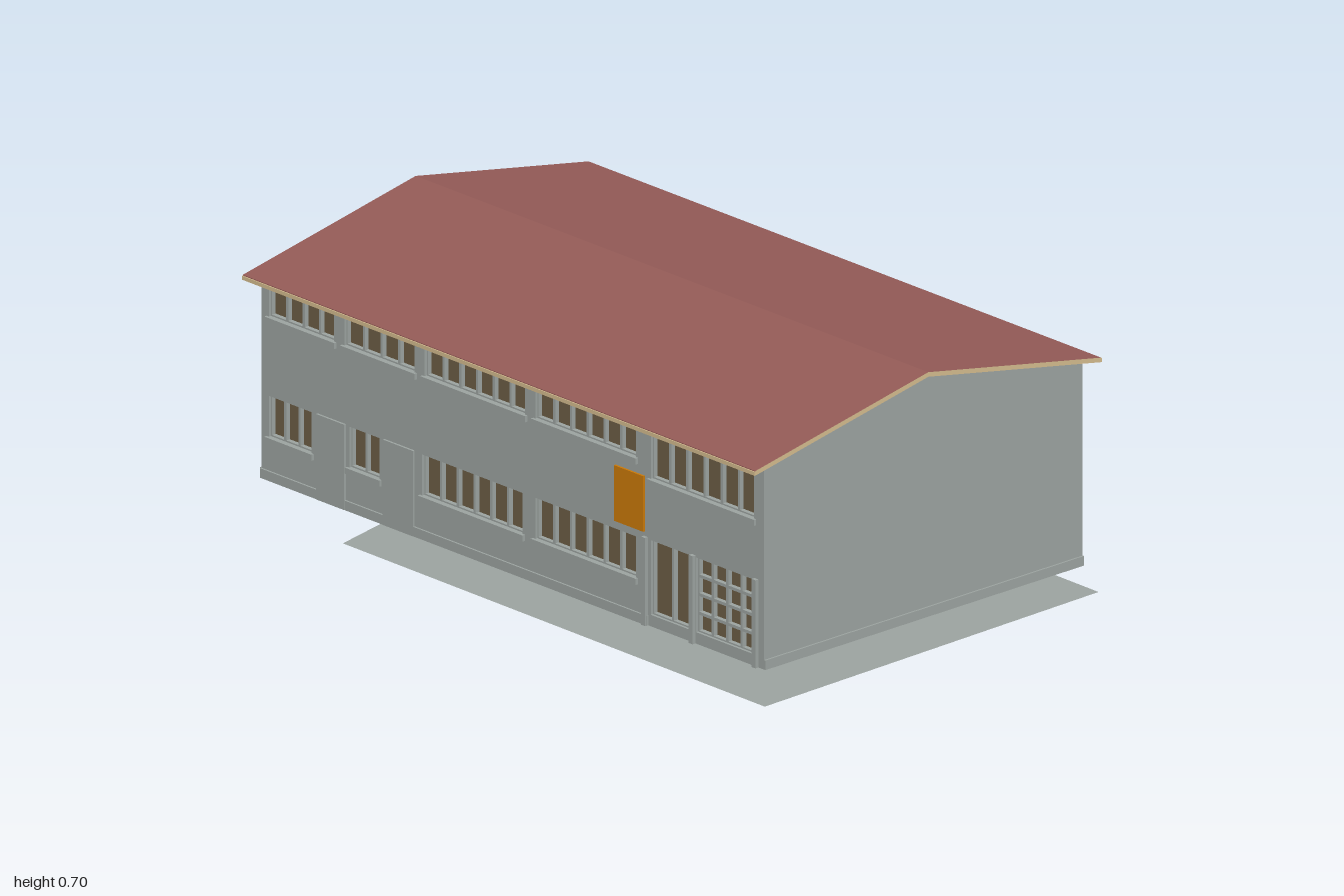
import * as THREE from 'three';

const mat = (name, color, side = THREE.FrontSide) => {
  const m = new THREE.MeshStandardMaterial({ color, side });
  m.name = name;
  return m;
};

export function createModel() {
  const wall = mat('grey wall', 0x9ba29f);
  const paving = mat('grey paving', 0x9ba29f, THREE.DoubleSide);
  const red = mat('red roof', 0x935a56);
  const tan = mat('tan fascia', 0xd2b98c);
  const glass = mat('brown glass', 0x6b5d45);
  const orange = mat('orange sign', 0xc87808);

  const model = new THREE.Group();
  model.name = 'hall';
  // Local frame: long axis along z, turned slightly
  const hall = new THREE.Group();
  hall.name = 'building';
  hall.position.z = -0.034;
  hall.rotation.y = 0.0875;
  model.add(hall);

  const add = (name, geo, material, parent = hall) => {
    const m = new THREE.Mesh(geo, material);
    m.name = name;
    parent.add(m);
    return m;
  };
  // Box given by its minimum and maximum corners
  const block = (name, material, x0, x1, y0, y1, z0, z1) => {
    const m = add(name, new THREE.BoxGeometry(x1 - x0, y1 - y0, z1 - z0), material);
    m.position.set((x0 + x1) / 2, (y0 + y1) / 2, (z0 + z1) / 2);
    return m;
  };
  const poly = pts => new THREE.Shape(pts.map(p => new THREE.Vector2(p[0], p[1])));
  const extrude = (shape, depth) => new THREE.ExtrudeGeometry(shape, { depth, bevelEnabled: false });

  const W = 0.53, L = 0.903, IN = -0.505, BASE = 0.055;
  const RW = 0.575, RL = 0.921, RIDGE = 0.7, EAVE = 0.59, T = 0.012;
  const under = x => RIDGE - T - Math.abs(x) * (RIDGE - EAVE) / RW;

  // Ground slab, a thin uneven sheet
  const slab = new THREE.ShapeGeometry(poly([[-0.515, -1], [0.613, -0.875], [0.475, 0.876], [-0.64, 0.52]]));
  slab.rotateX(-Math.PI / 2);
  add('groundSlab', slab, paving, model);

  // Gabled body
  add('body', extrude(poly([[IN, BASE], [W, BASE], [W, under(W)], [0, under(0)], [IN, under(IN)]]), 2 * L), wall)
    .position.z = -L;

  // Roof sheet with tan gable edges and eave boards
  add('roof', extrude(poly([[-RW, EAVE - T], [0, RIDGE - T], [RW, EAVE - T], [RW, EAVE], [0, RIDGE], [-RW, EAVE]]), 2 * RL),
    [tan, red]).position.z = -RL;
  for (const s of [-1, 1]) {
    const board = add('eaveBoard', new THREE.BoxGeometry(0.004, T - 0.002, 2 * RL), tan);
    board.position.set(s * (RW + 0.001), EAVE - T / 2 - 0.001, 0);
  }

  // Plinth strips at both gables
  for (const s of [-1, 1]) {
    const p = add('plinth', new THREE.BoxGeometry(2 * W, 0.025, 0.006), wall);
    p.position.set(0, BASE + 0.0125, s * (L + 0.002));
  }

  // Facade openings as fractions along the wall: start, end, bottom, top, columns, rows
  const openings = [
    [0.015, 0.145, 0.482, 0.555, 4, 1], [0.165, 0.305, 0.482, 0.555, 4, 1],
    [0.325, 0.525, 0.482, 0.555, 6, 1], [0.545, 0.745, 0.482, 0.555, 6, 1],
    [0.775, 0.98, 0.44, 0.555, 6, 1],
    [0.015, 0.1, 0.168, 0.275, 3, 1], [0.175, 0.235, 0.168, 0.275, 2, 1],
    [0.32, 0.52, 0.168, 0.275, 6, 1], [0.545, 0.745, 0.168, 0.275, 6, 1],
    [0.775, 0.855, 0.085, 0.28, 2, 1], [0.865, 0.98, 0.085, 0.28, 4, 4],
  ];
  const along = f => -L + f * 2 * L;
  const facade = poly([[-L, BASE], [L, BASE], [L, 0.584], [-L, 0.584]]);
  for (const [f0, f1, y0, y1] of openings) {
    const a = along(f0), b = along(f1);
    facade.holes.push(poly([[a, y0], [a, y1], [b, y1], [b, y0]]));
  }
  const facadeGeo = extrude(facade, -W - IN < 0 ? W + IN : 0.025);
  facadeGeo.rotateY(-Math.PI / 2);
  add('facade', facadeGeo, wall).position.x = IN;

  // Glass, mullions, transoms and sills
  for (const [f0, f1, y0, y1, cols, rows] of openings) {
    const a = along(f0), b = along(f1);
    block('glass', glass, IN - 0.006, IN, y0, y1, a, b);
    for (let i = 0; i <= cols; i++) {
      const z = a + (b - a) * i / cols;
      block('mullion', wall, IN - 0.018, IN - 0.004, y0, y1, z - 0.004, z + 0.004);
    }
    for (let j = 0; j <= rows; j++) {
      const y = y0 + (y1 - y0) * j / rows;
      block('transom', wall, IN - 0.018, IN - 0.004, y - 0.004, y + 0.004, a, b);
    }
    if (y0 > 0.1) block('sill', wall, -W - 0.008, -W, y0 - 0.016, y0, a - 0.008, b + 0.008);
  }

  // Flat doors with slightly raised leaves
  for (const [f0, f1] of [[0.112, 0.168], [0.245, 0.305]])
    block('door', wall, -W - 0.006, -W, BASE, 0.278, along(f0), along(f1));

  // Plinth along the facade, broken at the doors and gates
  for (const [f0, f1] of [[0, 0.112], [0.168, 0.245], [0.305, 0.77]])
    block('facadePlinth', wall, -W - 0.005, -W, BASE, 0.08, along(f0), along(f1));

  // Posts beside the gates
  for (const f of [0.765, 0.86, 0.985])
    block('gatePost', wall, -W - 0.01, -W, BASE, 0.285, along(f) - 0.007, along(f) + 0.007);

  // Hanging sign board
  block('signBoard', orange, -W - 0.02, -W - 0.014, 0.305, 0.45, 0.385, 0.49);
  for (const y of [0.33, 0.425])
    block('signBracket', wall, -W - 0.015, -W, y - 0.004, y + 0.004, 0.42, 0.455);

  return model;
}
